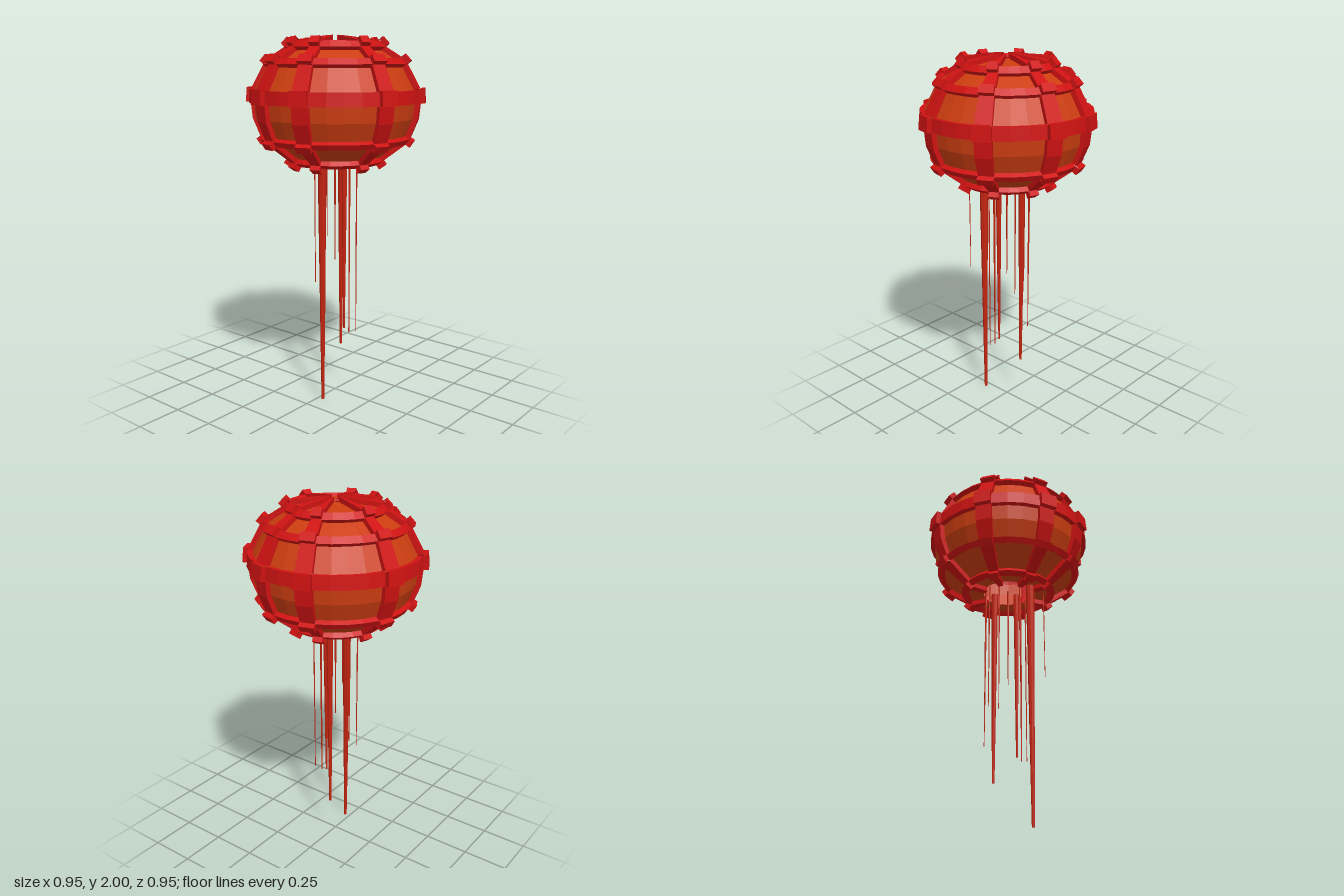
import * as THREE from 'three';

const SEGMENTS = 32;
const RAISE = 0.027;

// Shell profile from the crown hole to the bottom opening: [radius, y]
const PROFILE = [
  [0.033, 1.973], [0.224, 1.95], [0.25, 1.92], [0.337, 1.865], [0.363, 1.835],
  [0.425, 1.72], [0.43, 1.65], [0.422, 1.57], [0.385, 1.48], [0.367, 1.453],
  [0.25, 1.365], [0.222, 1.345], [0.14, 1.345],
].map(([r, y]) => new THREE.Vector2(r, y));
const HOOP_ROWS = [1, 3, 5, 8, 10];
const RIB_COLUMNS = [1, 5, 9, 14, 17, 21, 25, 30];

// Outward normals of the profile rows and of the profile points
const rowNormals = PROFILE.slice(1).map((p, i) => {
  const d = p.clone().sub(PROFILE[i]).normalize();
  return new THREE.Vector2(-d.y, d.x);
});
const pointNormals = PROFILE.map((p, i) => {
  const a = rowNormals[Math.max(i - 1, 0)];
  const b = rowNormals[Math.min(i, rowNormals.length - 1)];
  return a.clone().add(b).normalize();
});

const isHoop = (row) => HOOP_ROWS.includes(row);
const isRib = (col) => RIB_COLUMNS.includes((col + SEGMENTS) % SEGMENTS);
const height = (row, col) =>
  row < 0 || row >= rowNormals.length ? 0 : Number(isHoop(row)) + Number(isRib(col));

// Grid corner (i, j) lifted to the level of the cell (row, col)
function corner(i, j, row, col) {
  const p = PROFILE[i].clone();
  if (row >= 0 && row < rowNormals.length) {
    if (isRib(col)) p.addScaledVector(pointNormals[i], RAISE);
    if (isHoop(row)) p.addScaledVector(rowNormals[row], RAISE);
  }
  const a = (j / SEGMENTS) * Math.PI * 2;
  return [p.x * Math.cos(a), p.y, p.x * Math.sin(a)];
}

function quad(out, a, b, c, d) {
  out.push(...a, ...b, ...c, ...a, ...c, ...d);
}

function makeMesh(name, positions, material) {
  const geometry = new THREE.BufferGeometry();
  geometry.setAttribute('position', new THREE.Float32BufferAttribute(positions, 3));
  geometry.computeVertexNormals();
  const mesh = new THREE.Mesh(geometry, material);
  mesh.name = name;
  return mesh;
}

const paint = (color) =>
  new THREE.MeshStandardMaterial({ color, flatShading: true, side: THREE.DoubleSide });

// Panels plus the raised hoops and ribs, with step walls between levels
function createShell() {
  const panels = [], hoops = [], ribs = [];
  for (let row = 0; row < rowNormals.length; row++) {
    for (let col = 0; col < SEGMENTS; col++) {
      const target = isRib(col) ? ribs : isHoop(row) ? hoops : panels;
      const ring = [[row, col], [row, col + 1], [row + 1, col + 1], [row + 1, col]];
      quad(target, ...ring.map(([i, j]) => corner(i, j, row, col)));
      const neighbours = [[row - 1, col], [row, col + 1], [row + 1, col], [row, col - 1]];
      neighbours.forEach(([nr, nc], k) => {
        if (height(row, col) <= height(nr, nc)) return;
        const p = ring[k], q = ring[(k + 1) % 4];
        quad(target, corner(...q, row, col), corner(...p, row, col),
          corner(...p, nr, nc), corner(...q, nr, nc));
      });
    }
  }
  const shell = new THREE.Group();
  shell.name = 'shell';
  const red = paint(0xd01212);
  shell.add(makeMesh('panels', panels, paint(0xcc3d10)),
    makeMesh('hoops', hoops, red), makeMesh('ribs', ribs, red));
  return shell;
}

// Hanging strands: [x, z, bottom y, top radius, bottom radius]
const STRANDS = [
  [-0.145, 0.03, 0, 0.024, 0.008],
  [0.085, -0.025, 0.25, 0.019, 0.007],
  [0, 0.065, 0.39, 0.016, 0.005],
  [0, 0.1, 0.375, 0.006, 0.003],
  [0.005, 0.145, 0.385, 0.004, 0.002],
  [0.055, -0.12, 0.42, 0.006, 0.002],
  [-0.015, -0.085, 0.62, 0.005, 0.002],
  [0, -0.145, 0.62, 0.004, 0.002],
  [0, 0, 0.78, 0.006, 0.002],
  [-0.08, 0.01, 0.93, 0.003, 0.0015],
  [-0.14, 0.145, 0.83, 0.003, 0.0015],
];

function createStrands() {
  const strands = new THREE.Group();
  strands.name = 'strands';
  const material = paint(0xc42410);
  const top = 1.36;
  for (const [x, z, bottom, r1, r0] of STRANDS) {
    const strand = new THREE.Mesh(new THREE.CylinderGeometry(r1, r0, top - bottom, 8), material);
    strand.position.set(x, (top + bottom) / 2, z);
    strand.name = 'strand';
    strands.add(strand);
  }
  return strands;
}

export function createModel() {
  const model = new THREE.Group();
  model.name = 'hangingLantern';
  model.add(createShell(), createStrands());
  return model;
}
